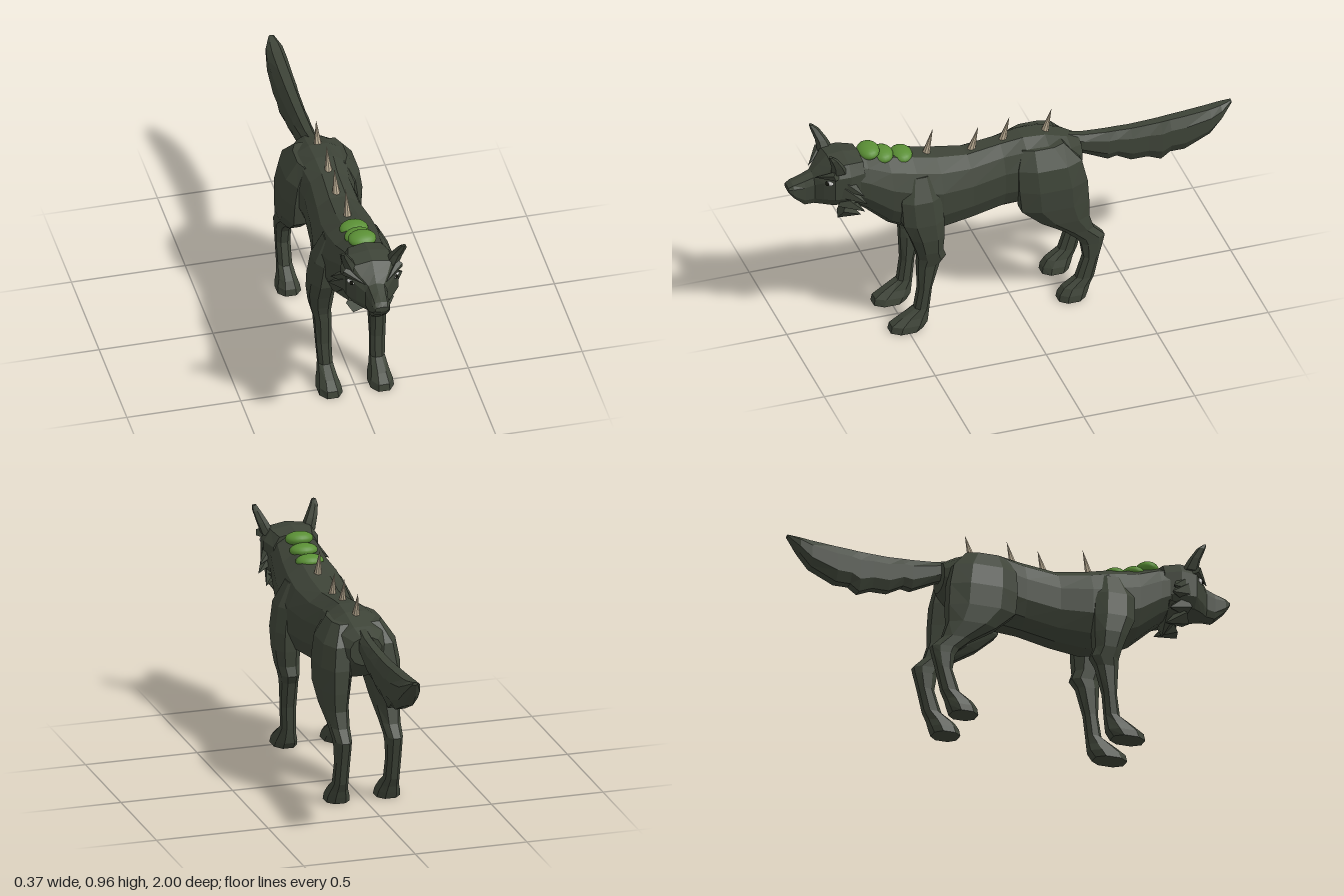
import * as THREE from 'three';

const flat = (name, color) => {
  const m = new THREE.MeshStandardMaterial({ color, flatShading: true });
  m.name = name;
  return m;
};
const V = (x, y, z) => new THREE.Vector3(x, y, z);

// Skin a list of closed rings of points, with both ends capped
function loft(rings) {
  const n = rings[0].length, pos = [], idx = [];
  rings.forEach(r => r.forEach(p => pos.push(p.x, p.y, p.z)));
  for (let i = 0; i < rings.length - 1; i++) {
    for (let j = 0; j < n; j++) {
      const a = i * n + j, b = i * n + (j + 1) % n;
      idx.push(a, b, b + n, a, b + n, a + n);
    }
  }
  const e = (rings.length - 1) * n;
  for (let j = 1; j < n - 1; j++) idx.push(0, j + 1, j, e, e + j, e + j + 1);
  // Turn every face outward if the signed volume is negative
  let vol = 0;
  const p = i => V(pos[i * 3], pos[i * 3 + 1], pos[i * 3 + 2]);
  for (let i = 0; i < idx.length; i += 3) vol += p(idx[i]).dot(p(idx[i + 1]).cross(p(idx[i + 2])));
  if (vol < 0) idx.reverse();
  const g = new THREE.BufferGeometry();
  g.setAttribute('position', new THREE.Float32BufferAttribute(pos, 3));
  g.setIndex(idx);
  g.computeVertexNormals();
  return g;
}

// Rounded outline as unit pairs; a lower power is boxier
function outline(n, power) {
  const soft = v => Math.sign(v) * Math.pow(Math.abs(v), power);
  return Array.from({ length: n }, (_, i) => {
    const t = (i + 0.5) / n * Math.PI * 2;
    return [soft(Math.cos(t)), soft(Math.sin(t))];
  });
}

// Sections along z: [z, top, bottom, halfWidth]
const alongZ = (rows, n = 10, power = 0.8) => loft(rows.map(([z, t, b, w]) =>
  outline(n, power).map(([u, v]) => V(u * w * 1.03, (t + b) / 2 + v * (t - b) / 2 * 1.02, z))));

// Sections along y: [y, front, back, inner, outer], mirrored by side
const alongY = (rows, side, n = 8) => loft(rows.map(([y, f, b, i, o]) =>
  outline(n, 0.85).map(([u, v]) =>
    V(side * ((i + o) / 2 + u * (o - i) / 2 * 1.05), y, (f + b) / 2 + v * (f - b) / 2 * 1.05))));

// Cone standing on one point and ending at another
function spike(from, to, r, sides, widthScale = 1) {
  const d = to.clone().sub(from), h = d.length();
  const g = new THREE.ConeGeometry(r, h, sides);
  g.translate(0, h / 2, 0);
  g.scale(widthScale, 1, 1);
  g.applyQuaternion(new THREE.Quaternion().setFromUnitVectors(V(0, 1, 0), d.normalize()));
  g.translate(from.x, from.y, from.z);
  return g;
}

export function createModel() {
  const fur = flat('dark fur', 0x3d4337);
  const bone = flat('bone', 0xb9ab92);
  const moss = new THREE.MeshStandardMaterial({ color: 0x5a8f35 });
  moss.name = 'moss green';
  const white = flat('eye white', 0xe8e8e4);
  const dark = flat('pupil', 0x16180f);

  const model = new THREE.Group();
  const add = (name, geo, mat) => {
    const m = new THREE.Mesh(geo, mat);
    m.name = name;
    model.add(m);
    return m;
  };

  // Neck, chest, belly and rump
  add('body', alongZ([
    [0.74, 0.88, 0.66, 0.10], [0.66, 0.87, 0.60, 0.115], [0.56, 0.84, 0.51, 0.13],
    [0.45, 0.825, 0.455, 0.145], [0.34, 0.80, 0.435, 0.145], [0.2, 0.78, 0.45, 0.122],
    [0.05, 0.80, 0.48, 0.112], [-0.05, 0.815, 0.49, 0.13], [-0.15, 0.81, 0.52, 0.14],
    [-0.25, 0.775, 0.55, 0.12], [-0.31, 0.745, 0.62, 0.07],
  ], 12, 0.9), fur);

  // Skull and tapering snout
  add('head', alongZ([
    [0.68, 0.88, 0.67, 0.10], [0.75, 0.892, 0.665, 0.122], [0.82, 0.885, 0.67, 0.115],
    [0.86, 0.845, 0.672, 0.08], [0.89, 0.815, 0.67, 0.048], [0.93, 0.80, 0.668, 0.042],
    [0.98, 0.782, 0.715, 0.038], [1.0, 0.768, 0.745, 0.03],
  ], 10, 0.65), fur);

  // Ragged bushy tail
  add('tail', alongZ([
    [-0.26, 0.77, 0.68, 0.03], [-0.33, 0.752, 0.655, 0.034], [-0.44, 0.745, 0.602, 0.038],
    [-0.48, 0.744, 0.61, 0.039], [-0.545, 0.742, 0.575, 0.04], [-0.62, 0.744, 0.575, 0.042],
    [-0.68, 0.747, 0.55, 0.044], [-0.72, 0.75, 0.58, 0.045], [-0.785, 0.754, 0.58, 0.046],
    [-0.9, 0.763, 0.635, 0.045], [-0.95, 0.77, 0.695, 0.038], [-1.0, 0.778, 0.765, 0.012],
  ], 8, 0.85), fur);

  // Chin ruff
  add('ruff', spike(V(0, 0.69, 0.73), V(0, 0.565, 0.7), 0.06, 6, 2.1), fur);

  for (const side of [1, -1]) {
    const S = (x, y, z) => V(side * x, y, z);

    // Front leg: shoulder, elbow, shin and paw
    add('frontLeg', alongY([
      [0.76, 0.49, 0.38, 0.05, 0.12], [0.66, 0.53, 0.35, 0.06, 0.17],
      [0.55, 0.525, 0.34, 0.07, 0.186], [0.47, 0.49, 0.34, 0.075, 0.187],
      [0.40, 0.465, 0.345, 0.08, 0.178], [0.36, 0.455, 0.33, 0.083, 0.168],
      [0.32, 0.455, 0.357, 0.083, 0.158], [0.2, 0.45, 0.39, 0.085, 0.152],
      [0.1, 0.465, 0.40, 0.083, 0.146], [0.06, 0.53, 0.405, 0.075, 0.153],
      [0.03, 0.572, 0.41, 0.065, 0.162], [0, 0.578, 0.432, 0.06, 0.165],
    ], side), fur);

    // Hind leg: thigh, hock, shank and paw
    add('hindLeg', alongY([
      [0.78, -0.03, -0.22, 0.03, 0.11], [0.7, 0.0, -0.29, 0.03, 0.162],
      [0.6, 0.0, -0.312, 0.035, 0.178], [0.5, -0.01, -0.318, 0.05, 0.176],
      [0.42, -0.10, -0.318, 0.062, 0.168], [0.35, -0.21, -0.34, 0.072, 0.155],
      [0.30, -0.265, -0.39, 0.078, 0.15], [0.27, -0.283, -0.383, 0.08, 0.148],
      [0.2, -0.295, -0.365, 0.083, 0.146], [0.1, -0.262, -0.342, 0.083, 0.146],
      [0.06, -0.205, -0.322, 0.075, 0.153], [0.03, -0.185, -0.312, 0.065, 0.162],
      [0, -0.18, -0.3, 0.06, 0.165],
    ], side), fur);

    // Forward-tilted ear
    add('ear', alongY([
      [0.85, 0.83, 0.76, 0.06, 0.118], [0.90, 0.835, 0.785, 0.086, 0.134],
      [0.945, 0.85, 0.815, 0.112, 0.145], [0.965, 0.855, 0.84, 0.124, 0.142],
    ], side, 6), fur);

    // Cheek tufts
    [[0.165, 0.71, 0.69], [0.155, 0.745, 0.70], [0.13, 0.65, 0.69], [0.075, 0.6, 0.69]].forEach(([x, y, z], i) =>
      add('cheekTuft', spike(S(0.085 - i * 0.008, y + 0.045, 0.775), S(x, y, z), 0.045, 5), fur));

    // Heavy brow over the eye
    add('brow', spike(S(0.118, 0.85, 0.815), S(0.045, 0.815, 0.89), 0.022, 5), fur);

    // Eye and pupil
    const eye = (name, r, mat, x, z) => {
      const g = new THREE.SphereGeometry(1, 10, 6);
      g.scale(r, 0.011, 0.005);
      g.rotateZ(side * 0.2);
      g.rotateY(side * 0.85);
      g.translate(side * x, 0.808, z);
      add(name, g, mat);
    };
    eye('eye', 0.02, white, 0.102, 0.842);
    eye('pupil', 0.009, dark, 0.099, 0.851);
  }

  // Mossy lumps on the nape
  [[0.872, 0.635], [0.84, 0.573], [0.82, 0.487]].forEach(([y, z]) => {
    const g = new THREE.SphereGeometry(1, 20, 12);
    g.scale(0.062, 0.03, 0.049);
    g.rotateX(0.12);
    g.translate(0, y, z);
    add('mossLump', g, moss);
  });

  // Spines along the back
  [[0.375, 0.79, 0.92], [0.17, 0.77, 0.885], [0.03, 0.785, 0.905], [-0.16, 0.79, 0.905]].forEach(([z, y, tip]) =>
    add('backSpine', spike(V(0, y, z), V(0, tip, z - 0.033), 0.019, 8), bone));

  return model;
}
